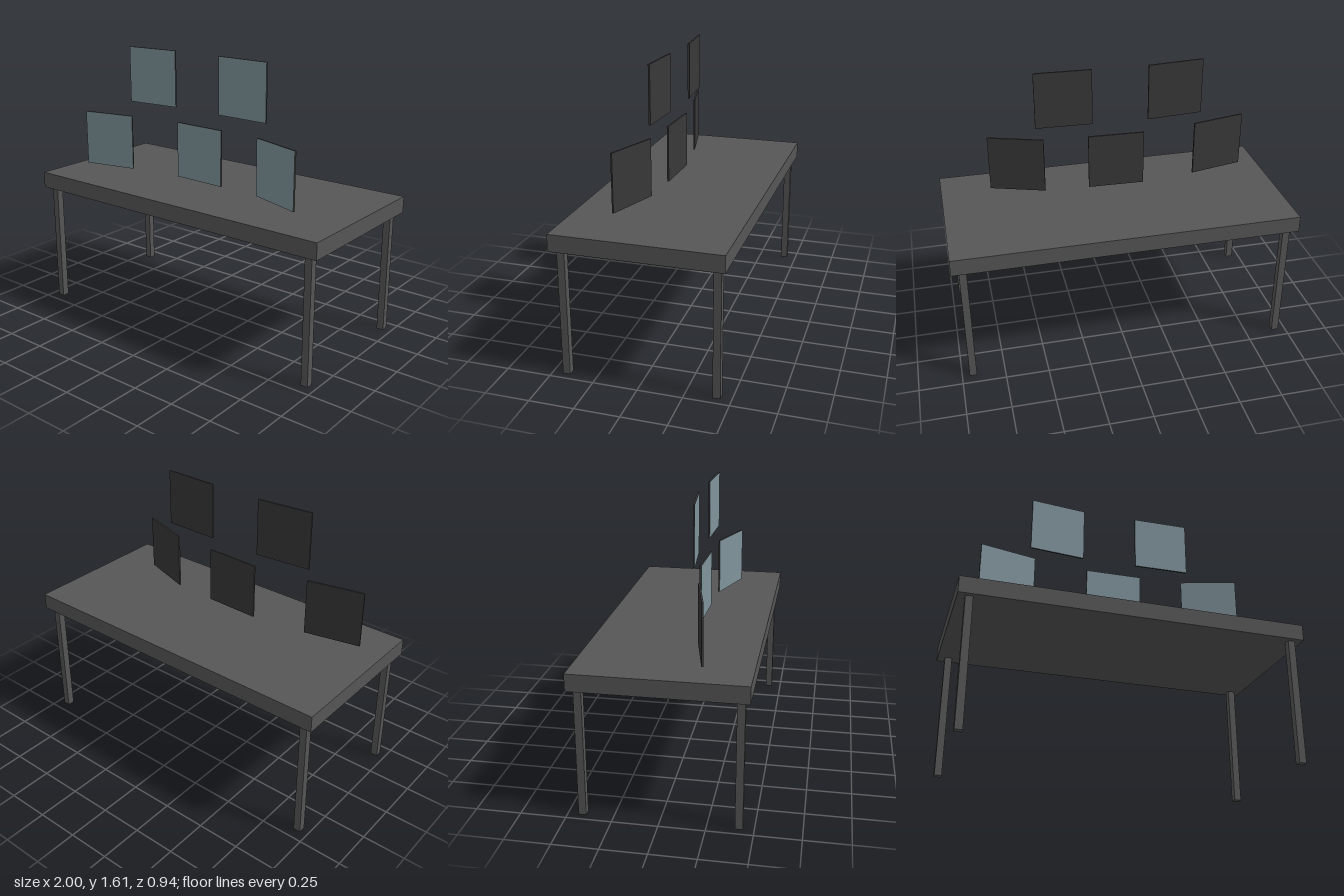
import * as THREE from 'three';

const material = (name, color) => {
  const m = new THREE.MeshStandardMaterial({ color });
  m.name = name;
  return m;
};

export function createModel() {
  const model = new THREE.Group();
  model.name = 'deskWithScreens';
  const deskGrey = material('deskGrey', 0x565656);
  const casingGrey = material('casingGrey', 0x383838);
  const glassBlue = material('glassBlue', 0x7f939b);

  const addBox = (name, size, position, mat) => {
    const mesh = new THREE.Mesh(new THREE.BoxGeometry(...size), mat);
    mesh.name = name;
    mesh.position.set(...position);
    model.add(mesh);
    return mesh;
  };

  // Desk: slab on four square legs
  addBox('tableTop', [2, 0.096, 0.94], [0, 0.781, 0], deskGrey);
  for (const x of [-1, 1]) {
    for (const z of [-1, 1]) {
      const name = (z > 0 ? 'front' : 'back') + (x > 0 ? 'Left' : 'Right') + 'Leg';
      addBox(name, [0.042, 0.733, 0.042], [x * 0.936, 0.3665, z * 0.42], deskGrey);
    }
  }

  // Floating screens in a shallow arc: name, x, y, z, turn about y
  const screens = [
    ['lowerRightScreen', -0.702, 1.027, 0.175, 0.21],
    ['lowerMiddleScreen', -0.043, 1.027, 0.1, -0.03],
    ['lowerLeftScreen', 0.545, 1.027, 0.172, -0.32],
    ['upperRightScreen', -0.396, 1.447, 0.1, 0.09],
    ['upperLeftScreen', 0.266, 1.447, 0.1, -0.03],
  ];
  // Only the +z side of each box is glass
  const sides = [0, 1, 2, 3, 4, 5].map((i) => (i === 4 ? glassBlue : casingGrey));
  for (const [name, x, y, z, turn] of screens) {
    addBox(name, [0.334, 0.334, 0.01], [x, y, z], sides).rotation.y = turn;
  }
  return model;
}
